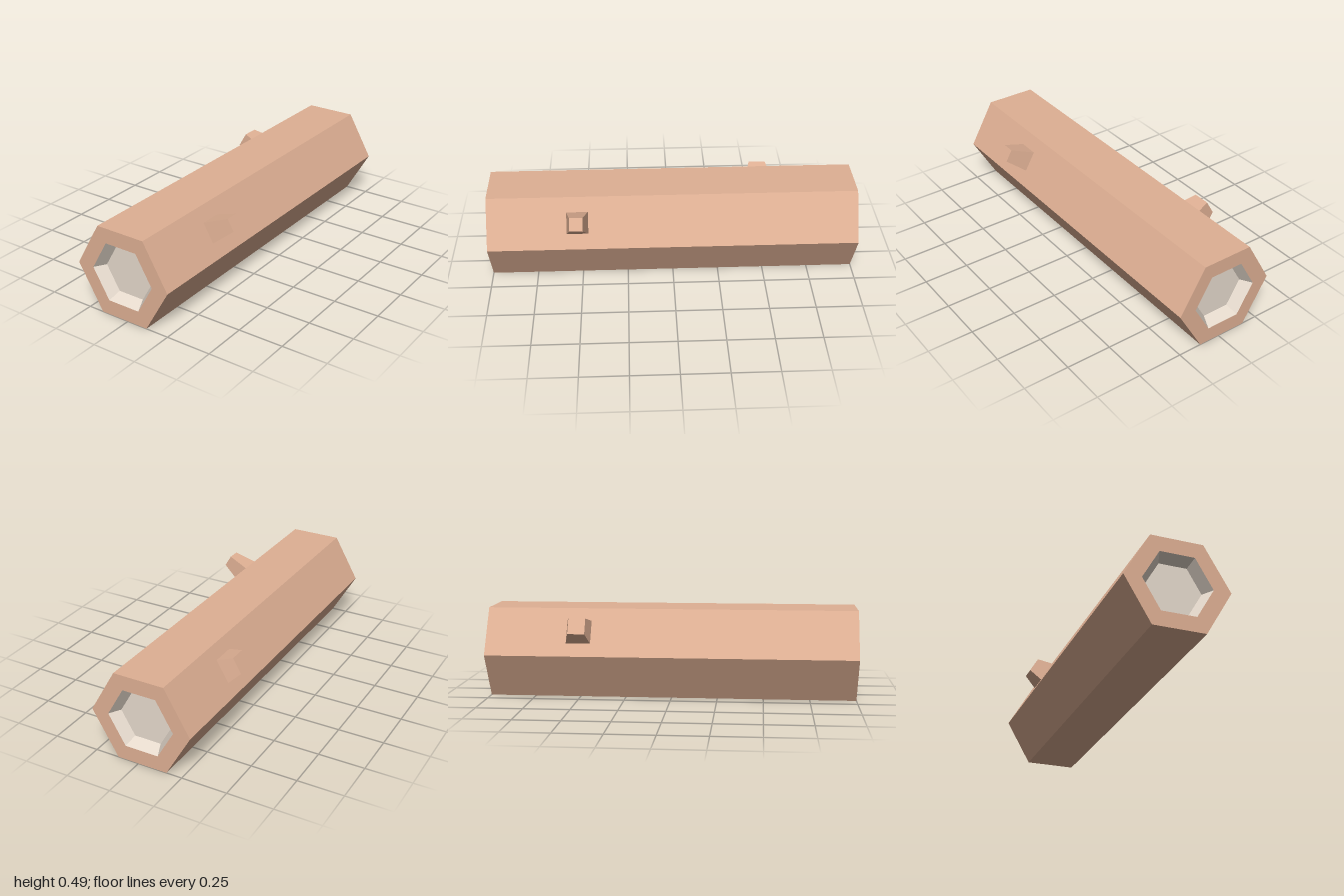
import * as THREE from 'three';

const bark = new THREE.MeshStandardMaterial({ color: 0xdfb094, flatShading: true });
const heartwood = new THREE.MeshStandardMaterial({ color: 0xe6dacd, flatShading: true });

const CENTRE = [-0.0225, 0.244];
const R = 0.2815;       // trunk corner radius
const RIM = 0.1865;     // recess radius at the end face
const FLOOR = 0.1495;   // recess radius at its floor
const DEPTH = 0.06;     // recess depth

function addMesh(parent, name, geometry, material) {
  const flat = geometry.toNonIndexed();
  flat.computeVertexNormals();
  const mesh = new THREE.Mesh(flat, material);
  mesh.name = name;
  parent.add(mesh);
  return mesh;
}

// Six-sided lathe lying along z, with corners pointing to +x and -x
function hexLathe(profile) {
  const points = profile.map(([r, y]) => new THREE.Vector2(r, y));
  return new THREE.LatheGeometry(points, 6, Math.PI / 2).rotateX(Math.PI / 2);
}

// Tapered square stub growing from a base point at an angle in the xy plane
function addBranch(parent, name, base, angle, length, baseWidth, tipWidth) {
  const geometry = new THREE.CylinderGeometry(tipWidth / Math.SQRT2, baseWidth / Math.SQRT2, length, 4);
  geometry.rotateY(Math.PI / 4).translate(0, length / 2, 0);
  const mesh = addMesh(parent, name, geometry, bark);
  mesh.rotation.z = angle - Math.PI / 2;
  mesh.position.set(...base);
}

export function createModel() {
  const model = new THREE.Group();
  model.name = 'log';

  // Trunk sides with a ring of bark at each end
  const trunk = new THREE.Group();
  trunk.name = 'trunk';
  trunk.position.set(...CENTRE, 0);
  model.add(trunk);
  addMesh(trunk, 'bark', hexLathe([[RIM, -1], [R, -1], [R, 1], [RIM, 1]]), bark);

  // Recessed pale wood at both ends
  addMesh(trunk, 'backHeartwood', hexLathe([[0, DEPTH - 1], [FLOOR, DEPTH - 1], [RIM, -1]]), heartwood);
  addMesh(trunk, 'frontHeartwood', hexLathe([[RIM, 1], [FLOOR, 1 - DEPTH], [0, 1 - DEPTH]]), heartwood);

  // Branch stubs square to the upper side faces
  addBranch(model, 'leftBranch', [0.1885, 0.367, 0.515], Math.PI / 6, 0.141, 0.116, 0.071);
  addBranch(model, 'rightBranch', [-0.2335, 0.367, -0.495], Math.PI * 5 / 6, 0.084, 0.132, 0.091);

  return model;
}
